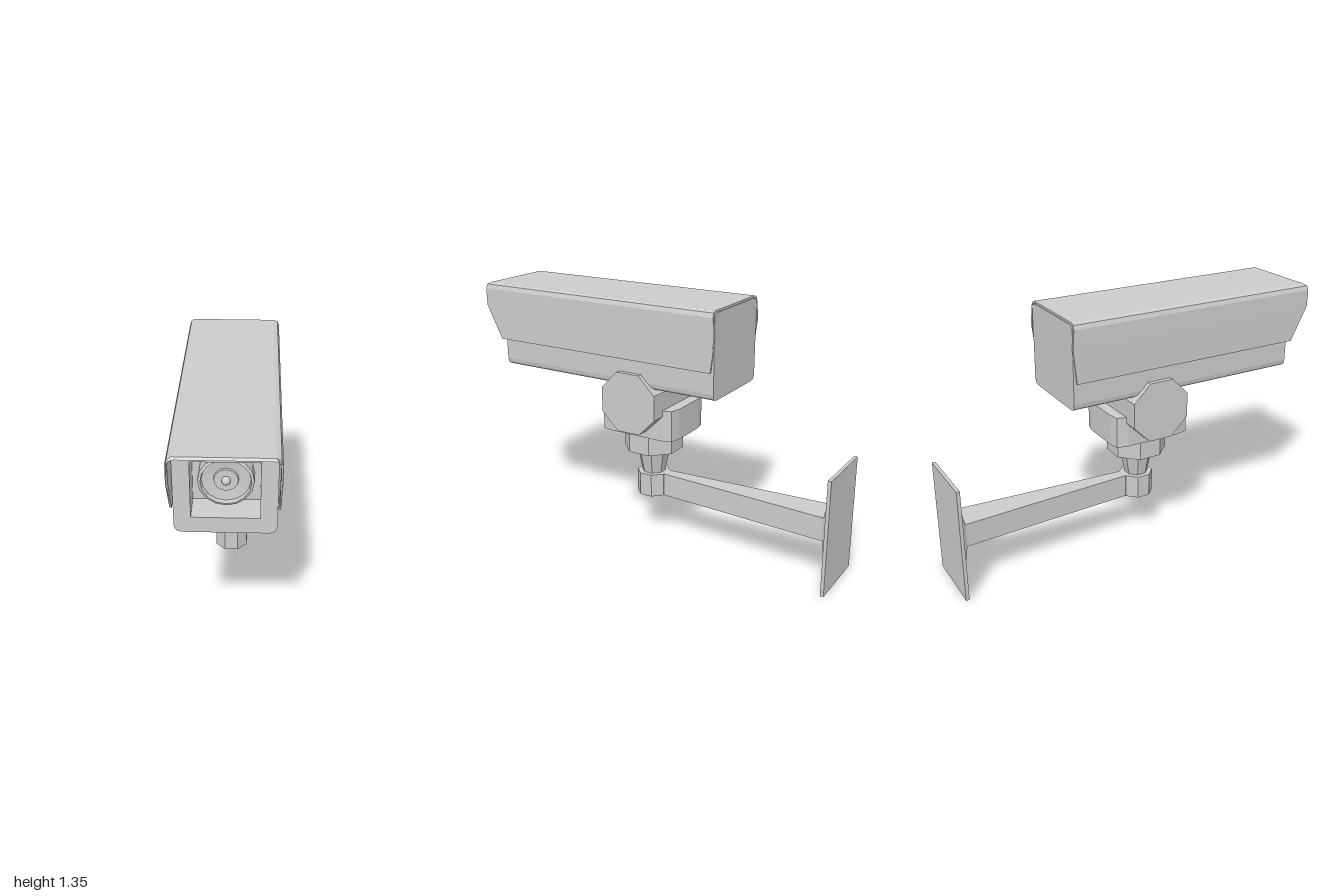
import * as THREE from 'three';

const AXIS_Z = 0.078; // z of the vertical mount axis

// Faceted normals
function flat(geometry) {
  const g = geometry.index ? geometry.toNonIndexed() : geometry;
  g.computeVertexNormals();
  return g;
}

// Octagonal prism with flat sides facing the axes; sizes are half widths across flats
function octagon(top, bottom, height) {
  const k = 1 / Math.cos(Math.PI / 8);
  return flat(new THREE.CylinderGeometry(top * k, bottom * k, height, 8).rotateY(Math.PI / 8));
}

// Box along z whose back (z0) and front (z1) ends have their own [width, height]
function taperBox(back, front, z0, z1) {
  const g = new THREE.BoxGeometry(1, 1, 1);
  const p = g.attributes.position;
  for (let i = 0; i < p.count; i++) {
    const isFront = p.getZ(i) > 0;
    const [w, h] = isFront ? front : back;
    p.setXYZ(i, p.getX(i) * w, p.getY(i) * h, isFront ? z1 : z0);
  }
  return flat(g);
}

// Rectangle with rounded corners
function roundedRect(x, y0, y1, r) {
  const s = new THREE.Shape();
  s.moveTo(-x + r, y0);
  s.lineTo(x - r, y0);
  s.quadraticCurveTo(x, y0, x, y0 + r);
  s.lineTo(x, y1 - r);
  s.quadraticCurveTo(x, y1, x - r, y1);
  s.lineTo(-x + r, y1);
  s.quadraticCurveTo(-x, y1, -x, y1 - r);
  s.lineTo(-x, y0 + r);
  s.quadraticCurveTo(-x, y0, -x + r, y0);
  return s;
}

function extrude(shape, z0, z1) {
  return new THREE.ExtrudeGeometry(shape, { depth: z1 - z0, bevelEnabled: false, curveSegments: 3 }).translate(0, 0, z0);
}

// Linear interpolation through [y, z] pairs in rising y
function along(pairs, y) {
  for (let i = 1; i < pairs.length; i++) {
    const [ya, za] = pairs[i - 1], [yb, zb] = pairs[i];
    if (y <= yb || i === pairs.length - 1) {
      return za + (zb - za) * THREE.MathUtils.clamp((y - ya) / (yb - ya), 0, 1);
    }
  }
}

// Thin folded sun hood with angled side ends
function hoodGeometry() {
  const outer = [[0.233, 1.045], [0.235, 1.225], [0.235, 1.315], [0.227, 1.337], [0.207, 1.345]];
  const inner = [[0.197, 1.336], [0.218, 1.33], [0.225, 1.31], [0.225, 1.225], [0.223, 1.045]];
  const mirror = (list) => list.map(([x, y]) => [-x, y]).reverse();
  const points = [...outer, ...mirror(outer), ...mirror(inner), ...inner];
  const g = extrude(new THREE.Shape(points.map(([x, y]) => new THREE.Vector2(x, y))), 0, 1);
  const frontEdge = [[1.045, 0.91], [1.225, 1], [1.335, 1], [1.345, 0.988]];
  const backEdge = [[1.045, -0.385], [1.225, -0.405], [1.345, -0.395]];
  const p = g.attributes.position;
  for (let i = 0; i < p.count; i++) {
    p.setZ(i, along(p.getZ(i) > 0.5 ? frontEdge : backEdge, p.getY(i)));
  }
  return flat(g);
}

export function createModel() {
  const model = new THREE.Group();
  model.name = 'securityCamera';
  const grey = new THREE.MeshStandardMaterial({ color: 0xcccccc });
  grey.name = 'lightGrey';

  const add = (name, geometry, x = 0, y = 0, z = 0) => {
    const mesh = new THREE.Mesh(geometry, grey);
    mesh.name = name;
    mesh.position.set(x, y, z);
    model.add(mesh);
    return mesh;
  };

  // Housing: solid rear and a front frame around the square lens recess
  const section = () => roundedRect(0.222, 0.902, 1.335, 0.036);
  add('housing', extrude(section(), -0.4, 0.745));
  const frame = section();
  frame.holes.push(new THREE.Path([[-0.148, 0.98], [-0.148, 1.257], [0.148, 1.257], [0.148, 0.98]]
    .map(([x, y]) => new THREE.Vector2(x, y))));
  add('housingFrame', extrude(frame, 0.745, 0.885));
  add('sunHood', hoodGeometry());

  // Lens barrel with rim, inner step and round centre
  const lens = [[0.122, 0], [0.122, 0.07], [0.11, 0.076], [0.106, 0.055], [0.055, 0.05], [0.053, 0.06], [0, 0.06]];
  const lensGeometry = new THREE.LatheGeometry(lens.map(([r, h]) => new THREE.Vector2(r, h)), 16);
  add('lens', flat(lensGeometry.rotateX(Math.PI / 2)), 0, 1.118, 0.745);
  add('lensCentre', new THREE.SphereGeometry(0.02, 16, 10), 0, 1.118, 0.808);

  // Tilt joint and the collar that holds it
  add('tiltJoint', octagon(0.158, 0.158, 0.494).rotateZ(Math.PI / 2), 0, 0.818, AXIS_Z);
  const corner = [[0.17, 0.155], [0.155, 0.21], [0.1, 0.222]];
  const flip = (list, sx, sy) => list.map(([x, y]) => new THREE.Vector2(x * sx, y * sy));
  const collar = new THREE.Shape([
    ...flip(corner, 1, 1), ...flip(corner, -1, 1).reverse(),
    ...flip(corner, -1, -1), ...flip(corner, 1, -1).reverse(),
  ]);
  add('collar', extrude(collar, 0, 0.165).rotateX(-Math.PI / 2), 0, 0.62, AXIS_Z + 0.005);

  // Swivel stack
  add('swivelRing', octagon(0.147, 0.147, 0.11), 0, 0.565, AXIS_Z);
  add('swivelNeck', octagon(0.084, 0.058, 0.14), 0, 0.44, AXIS_Z);
  add('swivelBase', octagon(0.083, 0.083, 0.125), 0, 0.3075, AXIS_Z);

  // Arm and wall mount
  add('arm', taperBox([0.17, 0.125], [0.056, 0.125], -0.945, 0.04), 0, 0.3075, 0);
  add('armFoot', taperBox([0.204, 0.35], [0.17, 0.125], -0.966, -0.94), 0, 0.306, 0);
  add('footPad', new THREE.BoxGeometry(0.204, 0.35, 0.018), 0, 0.306, -0.975);
  add('wallPlate', new THREE.BoxGeometry(0.354, 0.61, 0.018), 0, 0.305, -0.991);

  return model;
}
